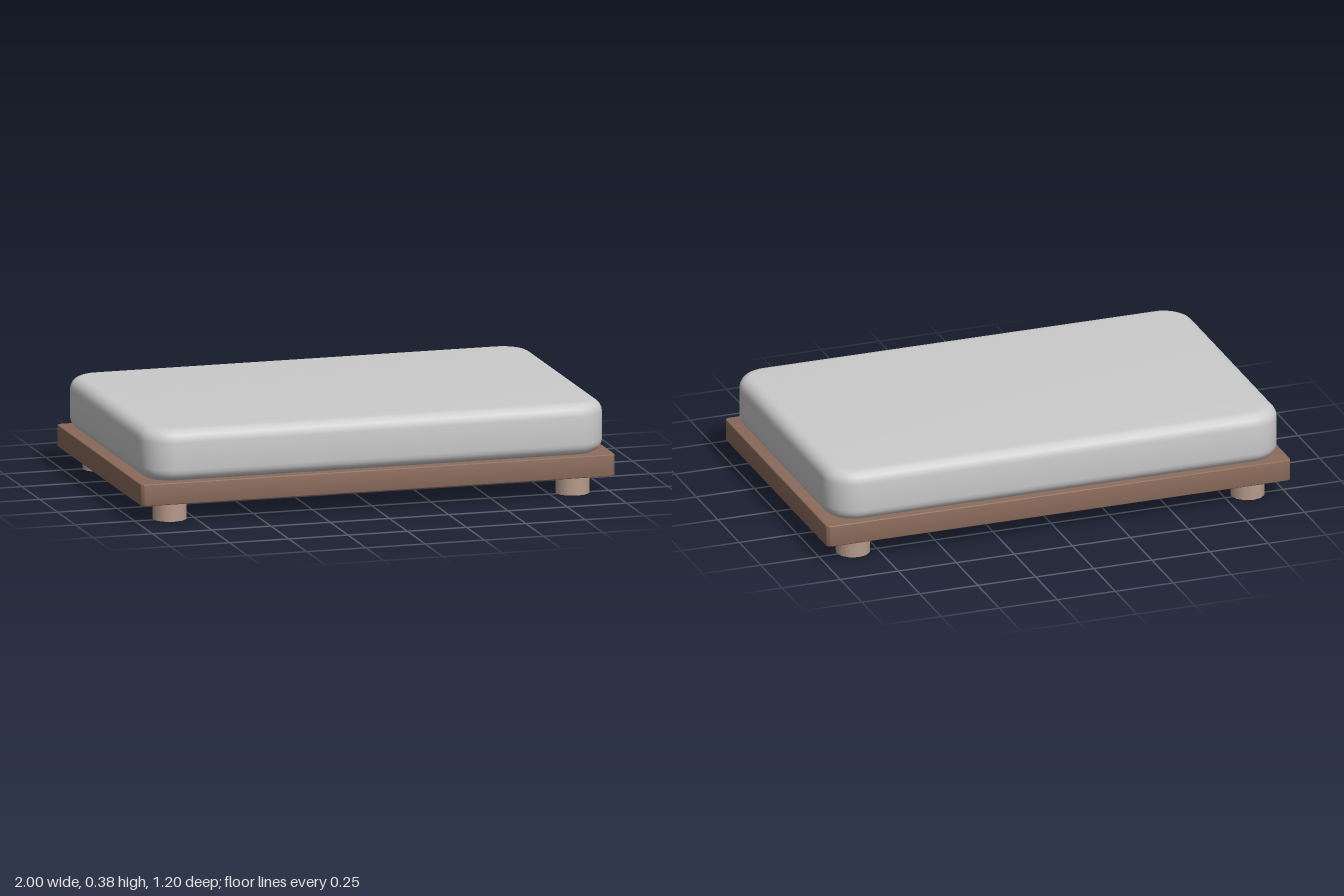
import * as THREE from 'three';
import { toCreasedNormals } from 'three/addons/utils/BufferGeometryUtils.js';

const material = (color) => new THREE.MeshStandardMaterial({ color });

// Rounded rectangle centred on the origin
function roundedRect(w, d, r) {
  const x = w / 2, y = d / 2;
  const s = new THREE.Shape();
  s.absarc(x - r, y - r, r, 0, Math.PI / 2);
  s.absarc(-x + r, y - r, r, Math.PI / 2, Math.PI);
  s.absarc(-x + r, -y + r, r, Math.PI, Math.PI * 1.5);
  s.absarc(x - r, -y + r, r, Math.PI * 1.5, Math.PI * 2);
  s.closePath();
  return s;
}

// Horizontal slab with rounded corners and softened top and bottom edges
function slab(w, d, bottom, top, radius, bevel, segments) {
  const geo = new THREE.ExtrudeGeometry(
    roundedRect(w - 2 * bevel, d - 2 * bevel, radius - bevel),
    {
      depth: top - bottom - 2 * bevel,
      curveSegments: segments,
      bevelEnabled: true,
      bevelSize: bevel,
      bevelThickness: bevel,
      bevelSegments: segments,
    }
  );
  geo.rotateX(-Math.PI / 2);
  geo.translate(0, bottom + bevel, 0);
  return toCreasedNormals(geo, 0.7);
}

export function createModel() {
  const model = new THREE.Group();
  model.name = 'platformBed';

  const add = (name, geometry, mat) => {
    const mesh = new THREE.Mesh(geometry, mat);
    mesh.name = name;
    model.add(mesh);
    return mesh;
  };

  // Wooden platform with slightly eased edges
  add('platform', slab(2, 1.2, 0.08, 0.17, 0.02, 0.004, 3), material(0x8b6b5b));

  // Soft mattress
  add('mattress', slab(1.95, 1.2, 0.17, 0.383, 0.13, 0.05, 5), material(0xcccccc));

  // Four short round feet
  const footGeo = new THREE.CylinderGeometry(0.07, 0.07, 0.08, 12);
  const footMat = material(0xb89c8c);
  for (const [sx, side] of [[1, 'Left'], [-1, 'Right']]) {
    for (const [sz, end] of [[1, 'front'], [-1, 'back']]) {
      add(`${end}${side}Foot`, footGeo, footMat).position.set(sx * 0.85, 0.04, sz * 0.49);
    }
  }

  return model;
}
